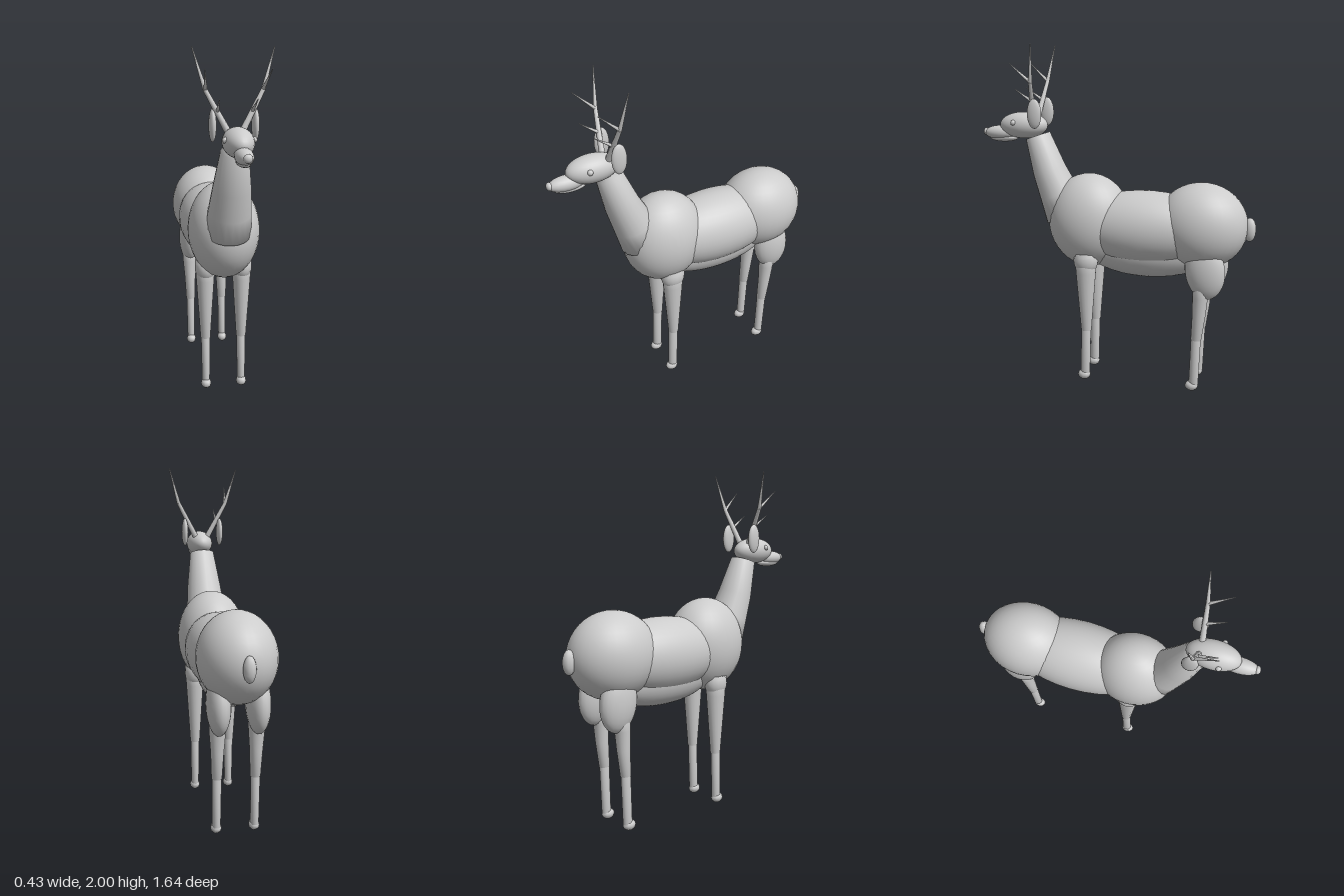
import * as THREE from 'three';

const grey = new THREE.MeshStandardMaterial({ color: 0xcccccc });
grey.name = 'plain grey';

function add(parent, name, geometry) {
  const mesh = new THREE.Mesh(geometry, grey);
  mesh.name = name;
  parent.add(mesh);
  return mesh;
}

// Sphere stretched to three radii
function blob(parent, name, pos, radii, w = 32, h = 20) {
  const g = new THREE.SphereGeometry(1, w, h);
  g.scale(...radii);
  const mesh = add(parent, name, g);
  mesh.position.set(...pos);
  return mesh;
}

// Tapered rod between two points
function rod(parent, name, a, b, ra, rb) {
  const from = new THREE.Vector3(...a), to = new THREE.Vector3(...b);
  const dir = to.clone().sub(from);
  const mesh = add(parent, name, new THREE.CylinderGeometry(rb, ra, dir.length(), 8));
  mesh.position.copy(from).addScaledVector(dir, 0.5);
  mesh.quaternion.setFromUnitVectors(new THREE.Vector3(0, 1, 0), dir.normalize());
}

// Loft along a path in the side plane; each ring is [y, z, radius across, radius along]
function loft(parent, name, x, rings, sides = 20) {
  const cap = ([y, z]) => [y, z, 0, 0];
  const all = [cap(rings[0]), ...rings, cap(rings[rings.length - 1])];
  const pos = [], index = [];
  all.forEach(([y, z, rx, rz], i) => {
    const p = all[Math.max(i - 1, 0)], n = all[Math.min(i + 1, all.length - 1)];
    const ty = n[0] - p[0], tz = n[1] - p[1], len = Math.hypot(ty, tz) || 1;
    for (let j = 0; j < sides; j++) {
      const a = (j / sides) * Math.PI * 2, s = Math.sin(a) * rz / len;
      pos.push(x + Math.cos(a) * rx, y + tz * s, z - ty * s);
      if (i < all.length - 1) {
        const k = (j + 1) % sides, r = i * sides, q = r + sides;
        index.push(r + j, r + k, q + j, r + k, q + k, q + j);
      }
    }
  });
  const g = new THREE.BufferGeometry();
  g.setAttribute('position', new THREE.Float32BufferAttribute(pos, 3));
  g.setIndex(index);
  g.computeVertexNormals();
  return add(parent, name, g);
}

export function createModel() {
  const model = new THREE.Group();
  model.name = 'deer';

  // Body masses
  blob(model, 'shoulders', [0, 0.98, 0.16], [0.205, 0.28, 0.25]);
  blob(model, 'barrel', [0, 0.95, -0.18], [0.21, 0.22, 0.45]);
  blob(model, 'belly', [0, 0.83, -0.19], [0.145, 0.175, 0.4]);
  blob(model, 'rump', [0, 0.98, -0.51], [0.217, 0.25, 0.267]);
  blob(model, 'tail', [0, 0.97, -0.785], [0.035, 0.07, 0.037], 10, 8);

  // Neck and head
  loft(model, 'neck', 0, [
    [1.0, 0.3, 0.13, 0.13], [1.13, 0.35, 0.12, 0.118],
    [1.27, 0.41, 0.105, 0.1], [1.475, 0.478, 0.075, 0.075],
  ]);
  blob(model, 'skull', [0, 1.535, 0.565], [0.08, 0.078, 0.148]);
  blob(model, 'muzzle', [0, 1.488, 0.71], [0.046, 0.043, 0.105], 20, 14);
  blob(model, 'jaw', [0, 1.458, 0.695], [0.036, 0.024, 0.09], 16, 10);
  blob(model, 'nose', [0, 1.492, 0.805], [0.024, 0.023, 0.018], 12, 8);

  for (const s of [1, -1]) {
    const side = s > 0 ? 'left' : 'right';

    // Eye and ear
    blob(model, side + 'Eye', [s * 0.073, 1.553, 0.605], [0.016, 0.016, 0.016], 12, 8);
    blob(model, side + 'Ear', [s * 0.112, 1.61, 0.458], [0.02, 0.086, 0.044], 16, 12);

    // Antler with two forward tines
    const antler = new THREE.Group();
    antler.name = side + 'Antler';
    model.add(antler);
    const elbow = [s * 0.15, 1.79, 0.463];
    rod(antler, 'lowerBeam', [s * 0.035, 1.575, 0.49], elbow, 0.018, 0.012);
    rod(antler, 'upperBeam', elbow, [s * 0.212, 2.0, 0.433], 0.012, 0.003);
    rod(antler, 'lowerTine', [s * 0.09, 1.68, 0.477], [s * 0.097, 1.75, 0.58], 0.01, 0.002);
    rod(antler, 'upperTine', [s * 0.148, 1.79, 0.463], [s * 0.168, 1.895, 0.58], 0.01, 0.002);

    // Front leg
    const x = s * 0.107;
    const front = new THREE.Group();
    front.name = side + 'FrontLeg';
    model.add(front);
    blob(front, 'upperMuscle', [x, 0.755, 0.157], [0.06, 0.085, 0.074], 16, 12);
    loft(front, 'upperLeg', x, [
      [0.8, 0.157, 0.06, 0.068], [0.68, 0.157, 0.052, 0.06], [0.32, 0.157, 0.029, 0.031],
    ], 16);
    loft(front, 'lowerLeg', x, [[0.36, 0.157, 0.027, 0.029], [0.04, 0.166, 0.023, 0.029]], 16);
    blob(front, 'hoof', [x, 0.031, 0.173], [0.031, 0.031, 0.04], 10, 6);

    // Hind leg
    const hind = new THREE.Group();
    hind.name = side + 'HindLeg';
    model.add(hind);
    const thigh = blob(hind, 'thigh', [x, 0.74, -0.548], [0.066, 0.17, 0.115], 20, 14);
    thigh.rotation.x = 0.12;
    loft(hind, 'upperLeg', x, [
      [0.68, -0.535, 0.05, 0.052], [0.58, -0.525, 0.045, 0.045],
      [0.47, -0.52, 0.036, 0.039], [0.32, -0.507, 0.029, 0.031],
    ], 16);
    loft(hind, 'lowerLeg', x, [[0.36, -0.508, 0.027, 0.029], [0.04, -0.498, 0.023, 0.028]], 16);
    blob(hind, 'hoof', [x, 0.031, -0.487], [0.031, 0.031, 0.04], 10, 6);
  }
  return model;
}
